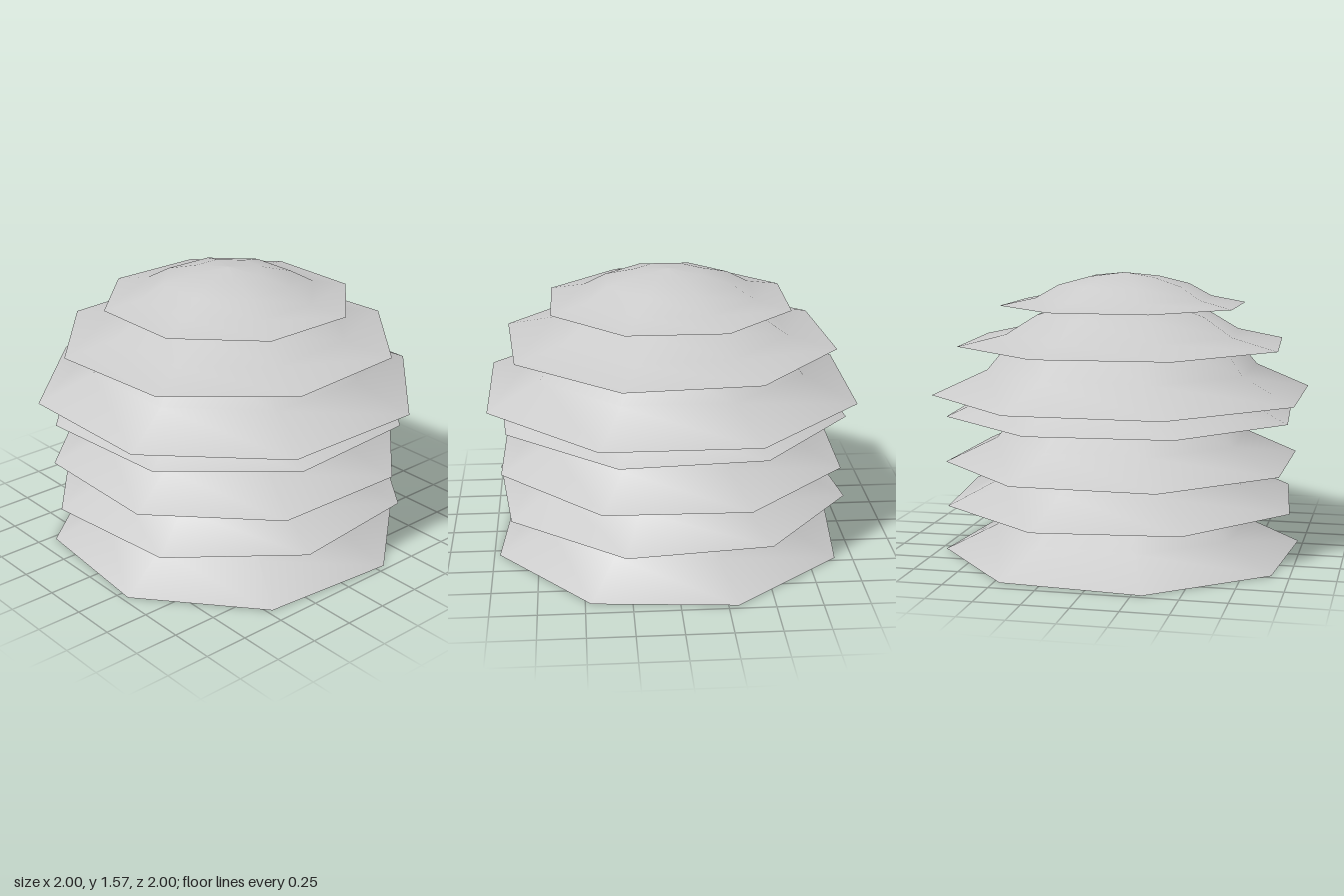
import * as THREE from 'three';

// Bell-shaped skirt profile, rim to crown: [radius ratio, height ratio]
const PROFILE = [[1, 0], [0.715, 0.23], [0.53, 0.63], [0.28, 0.88], [0, 1]];

// Tiers from the ground up: [name, rim height, rim radius, height, turn in degrees]
const TIERS = [
  ['baseTier', 0, 1.017, 0.6, -5],
  ['secondTier', 0.295, 1.015, 0.59, 6.4],
  ['thirdTier', 0.52, 1.01, 0.57, -1],
  ['innerTier', 0.77, 0.86, 0.42, -3],
  ['fourthTier', 0.79, 1.01, 0.54, 4.2],
  ['widestTier', 0.9, 1.082, 0.59, 0],
  ['upperTier', 1.175, 0.945, 0.26, 4.4],
  ['topCap', 1.39, 0.7, 0.177, 0],
];

export function createModel() {
  const model = new THREE.Group();
  model.name = 'tieredCanopy';
  const grey = new THREE.MeshStandardMaterial({ color: 0xcccccc, side: THREE.DoubleSide });
  grey.name = 'light grey';

  // Open octagonal shells nested over each other, each slightly turned
  for (const [name, y, radius, height, turn] of TIERS) {
    const points = PROFILE.map(([r, h]) => new THREE.Vector2(r * radius, h * height));
    const tier = new THREE.Mesh(new THREE.LatheGeometry(points, 8, Math.PI / 8), grey);
    tier.name = name;
    tier.position.y = y;
    tier.rotation.y = THREE.MathUtils.degToRad(turn);
    model.add(tier);
  }
  return model;
}
